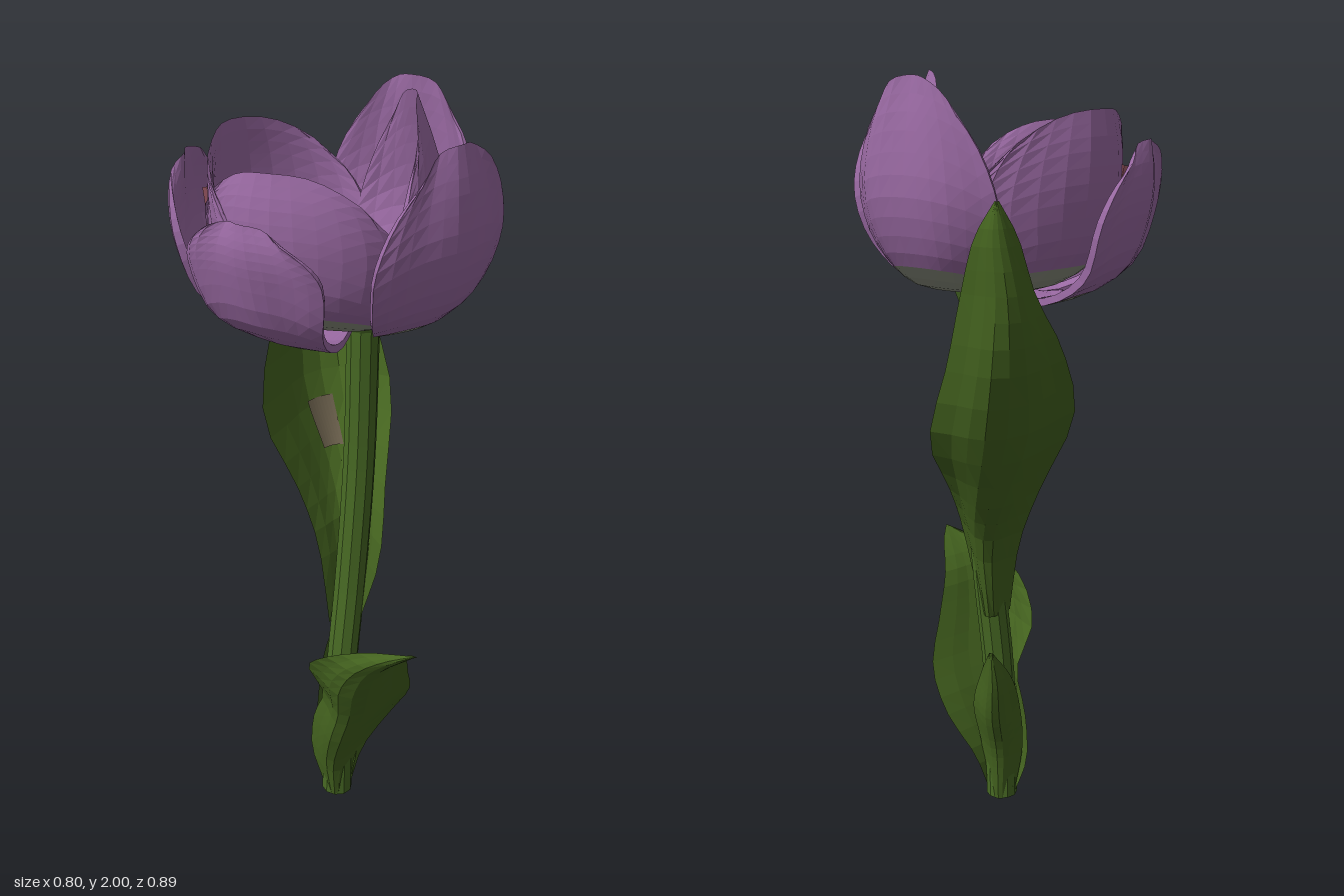
import * as THREE from 'three';

const mat = (name, color, extra = {}) => {
  const m = new THREE.MeshStandardMaterial({ color, flatShading: true, ...extra });
  m.name = name;
  return m;
};

const V = (x, y, z) => new THREE.Vector3(x, y, z);

// Petal: curved shell swept around a centre, with a pale patch at the outer foot
function petalGeometry({ az, hw, R, tip, top, base, taper, drop, pale, cx, cz }) {
  const NU = 12, NV = 16, loop = 2 * (NU + 1);
  const profile = new THREE.CatmullRomCurve3([
    V(0, base + 0.03, 0), V(R * 0.5, base, 0), V(R * 0.85, base + 0.08, 0),
    V(R, base + 0.22, 0), V(R * (1 + tip) / 2 + 0.01, base + 0.22 + (top - base - 0.22) * 0.55, 0),
    V(R * tip, top, 0),
  ]);
  const pos = [], body = [], foot = [];
  for (let i = 0; i <= NV; i++) {
    const v = i / NV;
    const width = v < 0.6 ? 0.8 + v / 3 : 1 - taper * ((v - 0.6) / 0.4) ** 2;
    const s = THREE.MathUtils.smoothstep(v, 0, 0.5);
    const ox = THREE.MathUtils.lerp(0.055, cx, s), oz = THREE.MathUtils.lerp(0.02, cz, s);
    for (let k = 0; k < loop; k++) {
      const outer = k <= NU;
      const u = outer ? -1 + 2 * k / NU : 1 - 2 * (k - NU - 1) / NU;
      const p = profile.getPoint(v * (1 - drop * Math.abs(u) ** 2.5));
      const thick = outer ? 0 : 0.022 * (1 - v ** 6);
      const r = Math.max(0, p.x * (1 + 0.02 * v * Math.cos(u * 7 + az)) - thick * Math.min(1, v * 2));
      const a = THREE.MathUtils.degToRad(az + u * hw * width);
      pos.push(ox + r * Math.sin(a), p.y + (outer ? 0 : thick * (1 - v)), oz + r * Math.cos(a));
    }
  }
  for (let i = 0; i < NV; i++) for (let k = 0; k < loop; k++) {
    const a = i * loop + k, b = i * loop + (k + 1) % loop;
    (k < NU && (i + 1) / NV <= pale ? foot : body).push(a, b, b + loop, a, b + loop, a + loop);
  }
  const g = new THREE.BufferGeometry();
  g.setAttribute('position', new THREE.Float32BufferAttribute(pos, 3));
  g.setIndex([...body, ...foot]);
  g.addGroup(0, body.length, 0);
  g.addGroup(body.length, foot.length, 1);
  g.computeVertexNormals();
  return g;
}

// Leaf: sheet lofted through rows of [y, edge x,z, midrib x,z, edge x,z];
// a smaller u, v range gives a patch of the same sheet
function leafGeometry(rows, [u0, u1] = [0, 1], [v0, v1] = [0, 1]) {
  const NU = 8, NV = 18;
  const rail = k => new THREE.CatmullRomCurve3(rows.map(r => V(r[1 + 2 * k], r[0], r[2 + 2 * k])));
  const rails = [rail(0), rail(1), rail(2)];
  const pos = [], idx = [];
  for (let i = 0; i <= NV; i++) {
    const v = v0 + (v1 - v0) * i / NV;
    const section = new THREE.CatmullRomCurve3(rails.map(c => c.getPoint(v)), false, 'catmullrom', 0.7);
    for (let j = 0; j <= NU; j++) {
      pos.push(...section.getPoint(u0 + (u1 - u0) * j / NU).toArray());
      if (i < NV && j < NU) {
        const a = i * (NU + 1) + j, d = a + NU + 1;
        idx.push(a, a + 1, d + 1, a, d + 1, d);
      }
    }
  }
  const g = new THREE.BufferGeometry();
  g.setAttribute('position', new THREE.Float32BufferAttribute(pos, 3));
  g.setIndex(idx);
  g.computeVertexNormals();
  return g;
}

export function createModel() {
  const model = new THREE.Group();
  const purple = mat('petal purple', 0x9a6aa3, { side: THREE.DoubleSide });
  const pale = mat('petal foot grey', 0x8c9080, { side: THREE.DoubleSide });
  const leafGreen = mat('leaf green', 0x44631f, { side: THREE.DoubleSide });
  const brown = mat('leaf spot brown', 0x6b604c, { side: THREE.DoubleSide });
  const stemGreen = mat('stem green', 0x486a24);
  const red = mat('filament red', 0x854c55);
  const add = (name, geometry, material) => {
    const m = new THREE.Mesh(geometry, material);
    m.name = name;
    model.add(m);
    return m;
  };

  // Stem with a flared top and a closed foot
  const stemPath = new THREE.CatmullRomCurve3([
    V(0, 0, 0.042), V(0.01, 0.35, 0.05), V(0.035, 0.7, 0.02), V(0.055, 1.05, 0.006), V(0.065, 1.46, 0.018)]);
  add('stem', new THREE.TubeGeometry(stemPath, 20, 0.043, 10), stemGreen);
  add('stemFoot', new THREE.CylinderGeometry(0.042, 0.036, 0.03, 10), stemGreen).position.set(0, 0.015, 0.042);
  add('stemTop', new THREE.CylinderGeometry(0.065, 0.043, 0.06, 10), stemGreen).position.set(0.063, 1.44, 0.018);

  // Leaves
  const tallLeaf = [
    [0.56, -0.02, 0.05, 0.02, -0.025, 0.06, 0.04],
    [0.78, -0.06, 0.00, 0.02, -0.09, 0.12, 0.07],
    [0.94, -0.12, -0.02, -0.03, -0.22, 0.115, -0.08],
    [1.13, -0.205, -0.02, -0.10, -0.33, 0.10, -0.30],
    [1.34, -0.21, -0.19, -0.13, -0.42, 0.03, -0.38],
    [1.50, -0.17, -0.33, -0.13, -0.44, -0.01, -0.41],
    [1.64, -0.14, -0.385, -0.11, -0.44, -0.05, -0.43],
    [1.72, -0.105, -0.42, -0.10, -0.425, -0.095, -0.42]];
  add('tallBackLeaf', leafGeometry(tallLeaf), leafGreen);
  [[[0.36, 0.54], [0.31, 0.4]], [[0.7, 0.88], [0.41, 0.48]]].forEach(([u, v]) =>
    add('leafSpot', leafGeometry(tallLeaf, u, v), brown).position.set(0.004, 0, 0.007));
  add('lowFrontLeaf', leafGeometry([
    [0.00, -0.036, 0.04, 0.00, 0.085, 0.036, 0.04],
    [0.12, -0.075, 0.03, 0.00, 0.11, 0.07, 0.01],
    [0.25, -0.065, 0.05, 0.03, 0.17, 0.15, 0.00],
    [0.36, -0.03, 0.10, 0.06, 0.215, 0.205, 0.05],
    [0.48, -0.06, 0.16, 0.08, 0.28, 0.21, 0.14],
    [0.58, 0.00, 0.26, 0.12, 0.33, 0.215, 0.22],
    [0.65, 0.12, 0.33, 0.19, 0.37, 0.25, 0.33],
    [0.68, 0.25, 0.375, 0.252, 0.375, 0.255, 0.375]]), leafGreen);
  add('lowBackLeaf', leafGeometry([
    [0.00, 0.036, 0.04, 0.00, -0.002, -0.036, 0.04],
    [0.15, 0.06, 0.04, 0.00, -0.02, -0.06, 0.04],
    [0.28, 0.075, 0.01, 0.00, -0.075, -0.06, 0.01],
    [0.40, 0.04, -0.04, -0.01, -0.11, -0.05, -0.05],
    [0.50, -0.005, -0.125, -0.01, -0.125, -0.015, -0.125]]), leafGreen);

  // Outer petals, spread around the cup
  const outer = { cx: 0, cz: 0.05, taper: 0.45, drop: 0.13, pale: 0.32 };
  [
    ['leftOuterPetal', { az: -100, hw: 30, R: 0.385, tip: 1.0, top: 1.84, base: 1.43 }],
    ['frontOuterPetal', { az: -26, hw: 31, R: 0.38, tip: 1.0, top: 1.77, base: 1.42 }],
    ['rightOuterPetal', { az: 57, hw: 36, R: 0.395, tip: 0.94, top: 1.93, base: 1.46 }],
    ['backOuterPetal', { az: 154, hw: 39, R: 0.37, tip: 0.92, top: 1.99, base: 1.47, pale: 0.38 }],
  ].forEach(([name, p]) => add(name, petalGeometry({ ...outer, ...p }), [purple, pale]));

  // Inner petals, overlapping to form the cup
  const inner = { cx: -0.01, cz: 0.08, R: 0.287, base: 1.46, pale: 0.38 };
  [
    ['frontInnerPetal', { az: -18, hw: 66, tip: 0.95, top: 1.87, taper: 0.25, drop: 0.25 }],
    ['leftInnerPetal', { az: -113, hw: 80, tip: 0.97, top: 1.91, taper: 0.25, drop: 0.23 }],
    ['rightInnerPetal', { az: 107, hw: 68, tip: 0.7, top: 2.0, taper: 0.3, drop: 0.17 }],
  ].forEach(([name, p]) => add(name, petalGeometry({ ...inner, ...p }), [purple, pale]));

  // Small filaments tucked between the petals
  [[0.235, -0.12, 0.015], [0.303, 0.035, 0.022], [-0.305, 0.09, -0.01]].forEach(([x, z, lean]) => {
    const path = new THREE.CatmullRomCurve3([
      V(x, 1.63, z - lean), V(x + 0.005, 1.7, z), V(x - 0.005, 1.77, z + lean)]);
    add('filament', new THREE.TubeGeometry(path, 5, 0.011, 5), red);
  });
  return model;
}
